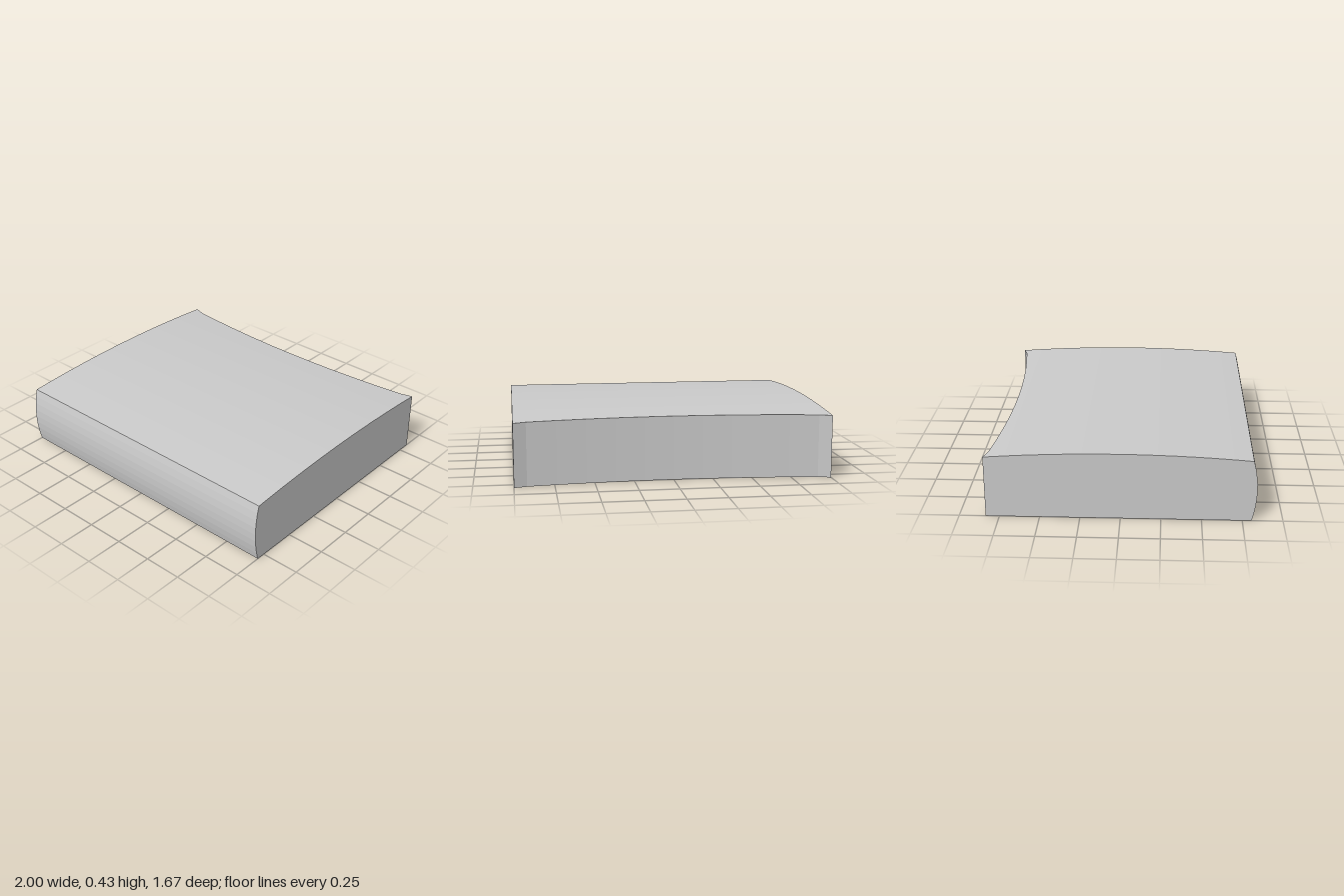
import * as THREE from 'three';

const NX = 12, NY = 8, NZ = 14;
const FRONT = 0.807, EDGE = 0.92;

// Bulging front face, hollowed back face and gently domed top
const frontZ = v => FRONT + 0.028 * (1 - (2 * v - 1) ** 2);
const backZ = x => (Math.abs(x) > EDGE + 0.01 ? -0.835 : -0.75 - 0.06 * (x / EDGE) ** 2);
const topY = z => 0.4 + 0.033 * (1 - ((z + 0.014) / 0.821) ** 2);

export function createModel() {
  const group = new THREE.Group();
  group.name = 'curvedBlock';

  // Unit grid box whose vertices are moved onto the curved faces
  const geometry = new THREE.BoxGeometry(1, 1, 1, NX, NY, NZ);
  const p = geometry.attributes.position;
  for (let n = 0; n < p.count; n++) {
    const i = Math.round(p.getX(n) * NX);
    const v = p.getY(n) + 0.5;
    const k = Math.round((p.getZ(n) + 0.5) * NZ);

    // Narrow end columns form the flared back corners
    const x = Math.abs(i) === NX / 2 ? Math.sign(i) : (i / (NX / 2 - 1)) * EDGE;
    // Only the first and last rows follow the back and front curves
    let z = -0.7 + ((FRONT + 0.7) * (k - 1)) / (NZ - 1);
    if (k === 0) z = backZ(x);
    if (k === NZ) z = frontZ(v);
    const height = k === NZ ? 0.4 : topY(z);
    p.setXYZ(n, x, v * height, z);
  }
  const faceted = geometry.toNonIndexed();
  faceted.computeVertexNormals();

  const block = new THREE.Mesh(
    faceted,
    new THREE.MeshStandardMaterial({ color: 0xcccccc, flatShading: true })
  );
  block.name = 'block';
  group.add(block);
  return group;
}
